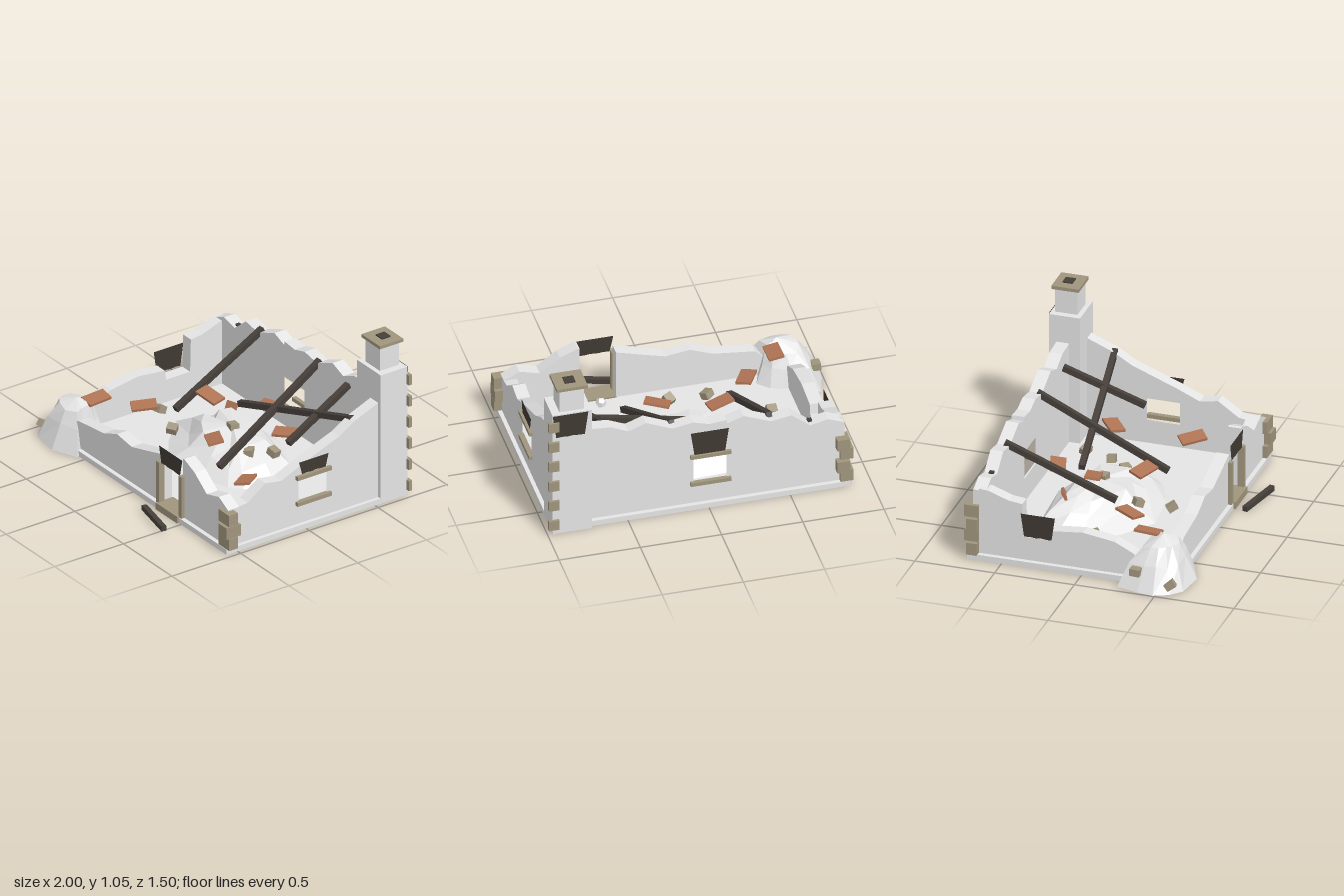
import * as THREE from 'three';

const mat = (name, color, extra = {}) => {
  const m = new THREE.MeshStandardMaterial({ color, ...extra });
  m.name = name;
  return m;
};

export function createModel() {
  const root = new THREE.Group();
  root.name = 'ruinedHouse';
  const wallMat = mat('wall stone', 0xe4e4e4, { flatShading: true });
  const rubbleMat = mat('rubble', 0xe5e5e5, { flatShading: true });
  const trimMat = mat('trim stone', 0xa0957d);
  const woodMat = mat('charred wood', 0x463f3a);
  const tileMat = mat('roof tile', 0xb07455);
  const sootMat = mat('soot', 0x403933, { side: THREE.DoubleSide });

  let seed = 7;
  const rand = () => (seed = (seed * 16807) % 2147483647) / 2147483647;

  const add = (name, geo, material) => {
    const m = new THREE.Mesh(geo, material);
    m.name = name;
    root.add(m);
    return m;
  };
  // box given by its min and max on each axis
  const box = (name, material, x0, x1, y0, y1, z0, z1) => {
    const m = add(name, new THREE.BoxGeometry(x1 - x0, y1 - y0, z1 - z0), material);
    m.position.set((x0 + x1) / 2, (y0 + y1) / 2, (z0 + z1) / 2);
    return m;
  };
  // broken wall: jagged top line closed down to the plinth, with window holes [u0, u1, y0, y1]
  const T = 0.08, BASE = 0.035;
  const wall = (name, top, holes = []) => {
    const pts = [[top[0][0], BASE], ...top, [top[top.length - 1][0], BASE]];
    const s = new THREE.Shape(pts.map(p => new THREE.Vector2(...p)));
    for (const [a, b, c, d] of holes) {
      s.holes.push(new THREE.Path([[a, c], [a, d], [b, d], [b, c]].map(p => new THREE.Vector2(...p))));
    }
    return add(name, new THREE.ExtrudeGeometry(s, { depth: T, bevelEnabled: false }), wallMat);
  };
  // side walls are drawn along z and turned
  const sideWall = (name, xMax, top, holes) => {
    const w = wall(name, top, holes);
    w.rotation.y = -Math.PI / 2;
    w.position.x = xMax;
  };

  // plinth
  box('foundation', wallMat, -0.87, 0.97, 0, BASE, -0.715, 0.58);

  // walls
  wall('backWall', [[-0.84, 0.45], [-0.74, 0.49], [-0.63, 0.465], [-0.515, 0.56], [-0.39, 0.54], [-0.22, 0.61],
    [-0.12, 0.575], [-0.115, 0.6], [-0.01, 0.59], [0.09, 0.62], [0.22, 0.6], [0.38, 0.67], [0.49, 0.63],
    [0.6, 0.68], [0.74, 0.69]], [[-0.115, 0.09, 0.19, 0.365]]).position.z = -0.687;
  wall('frontWallLeft', [[-0.72, 0.1], [-0.6, 0.21], [-0.34, 0.24], [-0.2, 0.295], [-0.05, 0.275], [0.08, 0.31],
    [0.255, 0.36]]).position.z = 0.472;
  wall('frontWallRight', [[0.478, 0.425], [0.49, 0.43], [0.6, 0.385], [0.725, 0.295], [0.85, 0.33],
    [0.945, 0.28]]).position.z = 0.472;
  sideWall('rightWall', 0.945, [[-0.6, 0.69], [-0.54, 0.67], [-0.37, 0.6], [-0.255, 0.53], [-0.175, 0.5], [-0.06, 0.455],
    [0.03, 0.42], [0.165, 0.36], [0.28, 0.38], [0.41, 0.29], [0.55, 0.27]], [[-0.165, 0.04, 0.185, 0.335]]);
  sideWall('leftWall', -0.76, [[-0.65, 0.46], [-0.59, 0.455], [-0.465, 0.41], [-0.38, 0.4], [-0.375, 0.185], [-0.2, 0.185],
    [-0.19, 0.25], [0, 0.27], [0.2, 0.24], [0.32, 0.18], [0.4, 0.1]]);

  // chimney
  box('chimneyBase', wallMat, 0.727, 0.97, 0, 0.865, -0.735, -0.54);
  box('chimneyStack', wallMat, 0.77, 0.92, 0.865, 1.022, -0.71, -0.57);
  box('chimneyCap', trimMat, 0.75, 0.94, 1.022, 1.043, -0.727, -0.556);
  box('flue', woodMat, 0.812, 0.878, 1.03, 1.05, -0.678, -0.615);

  // corner stones
  for (let i = 0; i < 6; i++) {
    const y = 0.037 + i * 0.1425;
    box('chimneyQuoin', trimMat, 0.93, 0.995, y, y + 0.067, -0.752, -0.728);
  }
  for (let i = 0; i < 4; i++) {
    const y = 0.037 + i * 0.08, k = i % 2;
    if (i < 3) box('frontQuoin', trimMat, k ? 0.91 : 0.885, 0.995, y, y + 0.077, k ? 0.495 : 0.515, k ? 0.598 : 0.58);
    box('backQuoin', trimMat, k ? -0.865 : -0.89, k ? -0.785 : -0.81, y, y + 0.077, k ? -0.735 : -0.715, -0.65);
  }

  // window and door trim
  box('rightLintel', trimMat, 0.935, 0.967, 0.335, 0.36, -0.19, 0.06);
  box('rightSill', trimMat, 0.935, 0.967, 0.162, 0.187, -0.19, 0.06);
  box('backLintel', trimMat, -0.14, 0.11, 0.362, 0.386, -0.707, -0.68);
  box('backSill', trimMat, -0.14, 0.11, 0.165, 0.19, -0.707, -0.68);
  box('doorStep', trimMat, 0.255, 0.477, 0, 0.045, 0.465, 0.592);
  for (const x of [0.235, 0.465]) box('doorPost', trimMat, x, x + 0.03, BASE, 0.312, 0.535, 0.575);

  // soot stains: flared plates with a ragged lower edge
  const soot = (name, w, h, x, y, z, turn) => {
    const pts = [[-w / 2, h / 2], [-w * 0.4, -h / 2]];
    for (let i = 1; i < 5; i++) pts.push([w * (-0.4 + 0.16 * i), -h / 2 + (i % 2) * 0.004]);
    pts.push([w * 0.4, -h / 2], [w / 2, h / 2]);
    const m = add(name, new THREE.ShapeGeometry(new THREE.Shape(pts.map(p => new THREE.Vector2(...p)))), sootMat);
    m.position.set(x, y, z);
    m.rotation.y = turn;
  };
  soot('doorSoot', 0.24, 0.11, 0.367, 0.363, 0.562, 0);
  soot('rightSoot', 0.215, 0.085, 0.952, 0.406, -0.067, Math.PI / 2);
  soot('backSoot', 0.235, 0.165, -0.01, 0.463, -0.694, Math.PI);
  soot('leftSoot', 0.215, 0.15, -0.848, 0.265, -0.28, -Math.PI / 2);
  soot('chimneySoot', 0.22, 0.16, 0.86, 0.782, -0.741, Math.PI);

  // beams from point to point
  const beam = (name, a, b, t = 0.036) => {
    const p = new THREE.Vector3(...a), q = new THREE.Vector3(...b);
    const m = add(name, new THREE.BoxGeometry(t, t, p.distanceTo(q)), woodMat);
    m.position.copy(p).add(q).multiplyScalar(0.5);
    m.lookAt(q);
  };
  beam('rafter', [-0.39, 0.555, -0.64], [-0.325, 0.25, 0.04]);
  beam('rafter', [0.21, 0.605, -0.635], [0.295, 0.17, 0.16]);
  beam('rafter', [0.565, 0.61, -0.59], [0.64, 0.4, -0.1]);
  beam('ridgeBeam', [-0.085, 0.305, -0.26], [0.905, 0.595, -0.378]);
  beam('fallenBeam', [0.23, 0.024, 0.658], [0.535, 0.034, 0.73], 0.032);
  beam('beamStub', [-0.635, 0.4, -0.64], [-0.636, 0.48, -0.64], 0.028);

  // rubble heaps: an outline shrunk toward a peak [x, z] in rising rings [scale, y, jitter]
  const heap = (name, outline, [px, pz], levels) => {
    const rings = levels.map(([k, y, jitter]) => outline.map(([x, z]) => {
      const s = k * (1 - jitter * rand());
      return [px + (x - px) * s, y * (1 - jitter * rand()), pz + (z - pz) * s];
    }));
    const pos = [], n = outline.length;
    for (let r = 0; r + 1 < rings.length; r++) {
      const a = rings[r], b = rings[r + 1];
      for (let i = 0; i < n; i++) {
        const j = (i + 1) % n;
        pos.push(...a[i], ...b[i], ...a[j], ...b[i], ...b[j], ...a[j]);
      }
    }
    const g = new THREE.BufferGeometry();
    g.setAttribute('position', new THREE.Float32BufferAttribute(pos, 3));
    g.computeVertexNormals();
    add(name, g, rubbleMat);
  };
  heap('cornerRubble', [[-0.61, 0.48], [-0.54, 0.6], [-0.705, 0.67], [-0.89, 0.645], [-0.96, 0.58], [-1, 0.49], [-0.99, 0.39],
    [-0.95, 0.25], [-0.8, 0.27], [-0.65, 0.31], [-0.575, 0.38]], [-0.73, 0.47],
    [[0, 0.004, 0], [1, 0.004, 0], [0.8, 0.16, 0.2], [0.52, 0.265, 0.16], [0, 0.29, 0]]);
  heap('floorRubble', [[0.47, -0.13], [0.41, 0.06], [0.33, 0.12], [0.155, 0.19], [-0.14, 0.22], [-0.34, 0.08], [-0.53, -0.11],
    [-0.34, -0.1], [-0.47, -0.29], [-0.42, -0.43], [0.09, -0.46], [0.3, -0.35], [0.47, -0.32]], [-0.02, -0.16],
    [[1, 0.036, 0], [0.84, 0.13, 0.2], [0.55, 0.21, 0.18], [0, 0.22, 0]]);

  // scattered roof tiles: x, y, z, turn in degrees, pitch, roll
  for (const [x, y, z, turn, pitch, roll] of [[-0.015, 0.265, -0.43, 17, 0.15, 0.08], [-0.22, 0.335, -0.14, 10, 0.1, -0.2],
    [-0.465, 0.257, 0.17, 62, 0.12, 0.08], [0.11, 0.25, 0.065, -24, 0.2, 0.1], [0.435, 0.345, -0.23, 38, 0.1, 0.06],
    [0.625, 0.24, 0.2, -52, 0.2, 0.12], [-0.685, 0.268, 0.36, 90, 0.15, 0.06]]) {
    const m = add('roofTile', new THREE.BoxGeometry(0.155, 0.016, 0.095), tileMat);
    m.position.set(x, y, z);
    m.rotation.set(pitch, turn * Math.PI / 180, roll, 'YXZ');
  }
  const steep = add('roofTile', new THREE.BoxGeometry(0.075, 0.016, 0.07), tileMat);
  steep.position.set(-0.245, 0.19, -0.31);
  steep.rotation.set(1.1, 0.3, 0, 'YXZ');

  // loose stones
  for (const [x, y, z] of [[-0.57, 0.13, -0.02], [-0.215, 0.2, 0.14], [-0.02, 0.1, 0.285], [0, 0.22, -0.15],
    [0.245, 0.17, -0.095], [0.335, 0.175, -0.21], [0.54, 0.1, -0.44], [-0.945, 0.12, 0.365], [-0.925, 0.055, 0.575]]) {
    const m = add('looseStone', new THREE.BoxGeometry(0.062, 0.045, 0.055), trimMat);
    m.position.set(x, y, z);
    m.rotation.set(rand() - 0.5, rand() * 3, rand() - 0.5);
  }
  const pebble = add('pebble', new THREE.DodecahedronGeometry(0.033), rubbleMat);
  pebble.position.set(0.365, 0.06, 0.405);

  return root;
}
